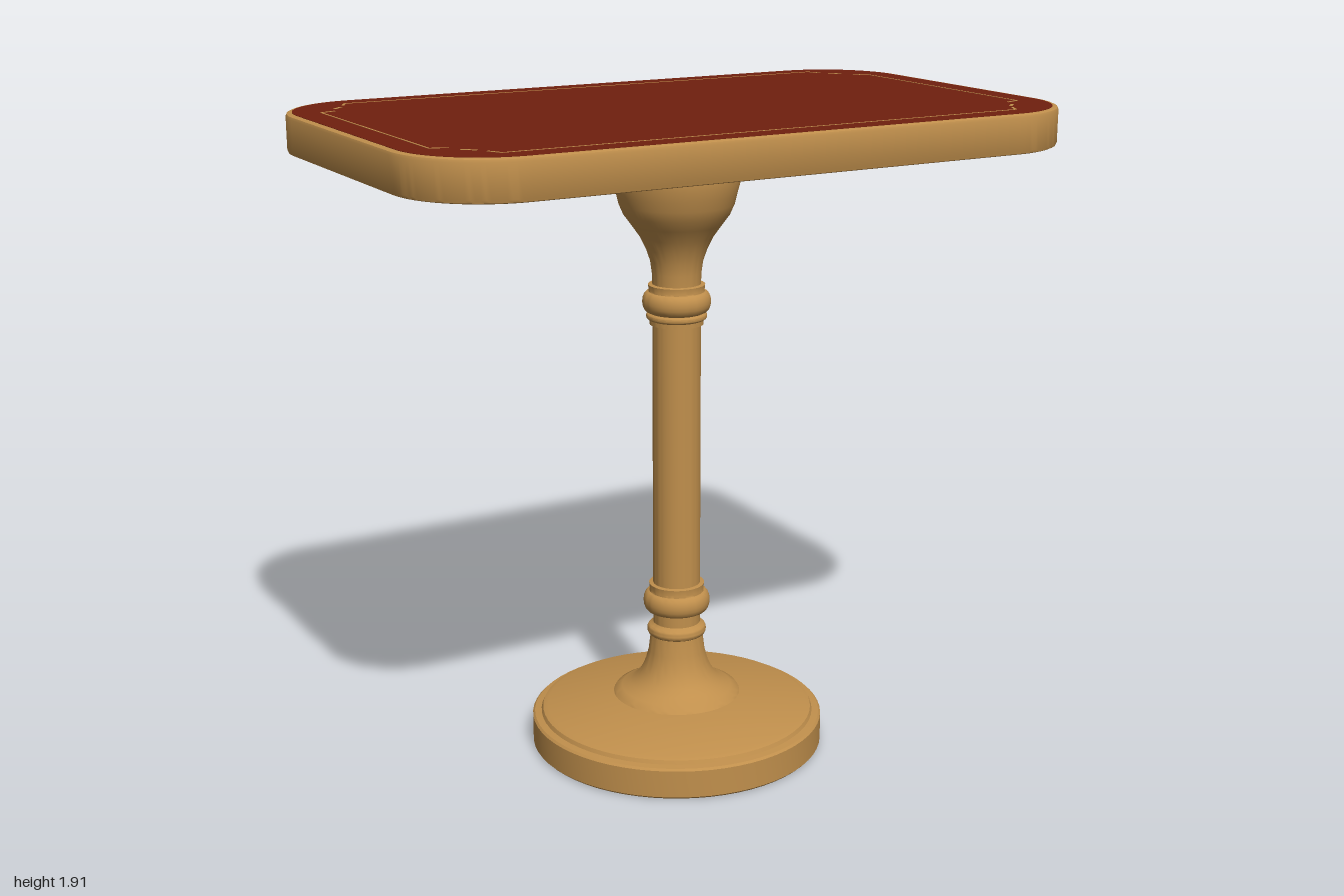
import * as THREE from 'three';
import { toCreasedNormals } from 'three/addons/utils/BufferGeometryUtils.js';

const wood = new THREE.MeshStandardMaterial({ color: 0xc08f4c });
wood.name = 'wood';
const leather = new THREE.MeshStandardMaterial({ color: 0x701f0e });
leather.name = 'red leather';

// Rectangle with rounded corners, centred on the origin
function roundedRect(hw, hd, r) {
  const s = new THREE.Shape();
  s.moveTo(-hw + r, -hd);
  s.lineTo(hw - r, -hd);
  s.absarc(hw - r, -hd + r, r, -Math.PI / 2, 0);
  s.absarc(hw - r, hd - r, r, 0, Math.PI / 2);
  s.absarc(-hw + r, hd - r, r, Math.PI / 2, Math.PI);
  s.absarc(-hw + r, -hd + r, r, Math.PI, Math.PI * 1.5);
  return s;
}

function turned(name, profile) {
  const points = profile.map(([r, y]) => new THREE.Vector2(r, y));
  const geometry = toCreasedNormals(new THREE.LatheGeometry(points, 64), 0.6);
  const mesh = new THREE.Mesh(geometry, wood);
  mesh.name = name;
  return mesh;
}

// Half-round moulding as profile points
function bead(rIn, rOut, y0, y1) {
  const points = [];
  for (let i = 0; i <= 8; i++) {
    const a = (i / 8) * Math.PI;
    points.push([rIn + (rOut - rIn) * Math.sin(a), (y0 + y1) / 2 - ((y1 - y0) / 2) * Math.cos(a)]);
  }
  return points;
}

export function createModel() {
  const group = new THREE.Group();
  group.name = 'pedestalTable';

  // Round base with a shallow conical top
  group.add(turned('base', [
    [0, 0], [0.43, 0], [0.436, 0.006], [0.436, 0.087], [0.43, 0.093],
    [0.41, 0.096], [0.405, 0.107], [0.39, 0.113], [0, 0.146],
  ]));

  // Flared foot and its mouldings
  group.add(turned('columnFoot', [
    [0, 0.15], [0.19, 0.15], [0.185, 0.158], [0.165, 0.168], [0.14, 0.182], [0.12, 0.2],
    [0.105, 0.222], [0.093, 0.25], [0.084, 0.285], [0.078, 0.335],
    ...bead(0.077, 0.088, 0.336, 0.368),
    [0.07, 0.375], [0.07, 0.408], [0.08, 0.411],
    ...bead(0.081, 0.099, 0.412, 0.474),
    [0.08, 0.48], [0.082, 0.498], [0.07, 0.5],
  ]));

  group.add(turned('columnShaft', [[0.07, 0.49], [0.07, 1.3]]));

  // Upper collar
  group.add(turned('columnCollar', [
    [0.07, 1.288], [0.078, 1.29], [0.078, 1.303],
    ...bead(0.079, 0.088, 1.304, 1.324),
    ...bead(0.081, 0.099, 1.326, 1.386),
    [0.08, 1.39], [0.082, 1.406], [0.07, 1.408],
  ]));

  // Flared capital under the top
  group.add(turned('capital', [
    [0.07, 1.405], [0.071, 1.44], [0.076, 1.475], [0.088, 1.51], [0.105, 1.545],
    [0.13, 1.58], [0.152, 1.61], [0.165, 1.64], [0.172, 1.67], [0.18, 1.7], [0.18, 1.722],
    [0.19, 1.73], [0.21, 1.738], [0.221, 1.752], [0.223, 1.78], [0.205, 1.786],
    [0.234, 1.79], [0.234, 1.805],
  ]));

  // Table top with softened edges
  const bevel = 0.01;
  const topGeometry = new THREE.ExtrudeGeometry(roundedRect(1 - bevel, 0.605 - bevel, 0.25), {
    depth: 0.11 - 2 * bevel, bevelEnabled: true, bevelThickness: bevel, bevelSize: bevel,
    bevelSegments: 2, curveSegments: 16,
  });
  topGeometry.rotateX(-Math.PI / 2);
  topGeometry.translate(0, 1.799 + bevel, 0);
  const top = new THREE.Mesh(toCreasedNormals(topGeometry, 0.6), wood);
  top.name = 'tableTop';
  group.add(top);

  // Leather writing surface
  const panelGeometry = new THREE.ExtrudeGeometry(roundedRect(0.982, 0.587, 0.24), {
    depth: 0.003, bevelEnabled: false, curveSegments: 16,
  });
  panelGeometry.rotateX(-Math.PI / 2);
  panelGeometry.translate(0, 1.907, 0);
  const panel = new THREE.Mesh(panelGeometry, leather);
  panel.name = 'leatherPanel';
  group.add(panel);

  // Fine inlay border with notched corners
  const inlay = new THREE.Group();
  inlay.name = 'inlayBorder';
  const strip = (x0, z0, x1, z1, width) => {
    const length = Math.hypot(x1 - x0, z1 - z0);
    const mesh = new THREE.Mesh(new THREE.BoxGeometry(length, 0.001, width), wood);
    mesh.position.set((x0 + x1) / 2, 1.9103, (z0 + z1) / 2);
    mesh.rotation.y = -Math.atan2(z1 - z0, x1 - x0);
    mesh.name = 'inlayStrip';
    inlay.add(mesh);
  };
  for (const s of [-1, 1]) {
    strip(-0.78, s * 0.52, 0.78, s * 0.52, 0.005);
    strip(s * 0.905, -0.37, s * 0.905, 0.37, 0.005);
    for (const t of [-1, 1]) {
      strip(s * 0.78, t * 0.52, s * 0.8, t * 0.48, 0.007);
      strip(s * 0.815, t * 0.455, s * 0.845, t * 0.425, 0.009);
      strip(s * 0.86, t * 0.385, s * 0.905, t * 0.37, 0.007);
    }
  }
  group.add(inlay);

  return group;
}
